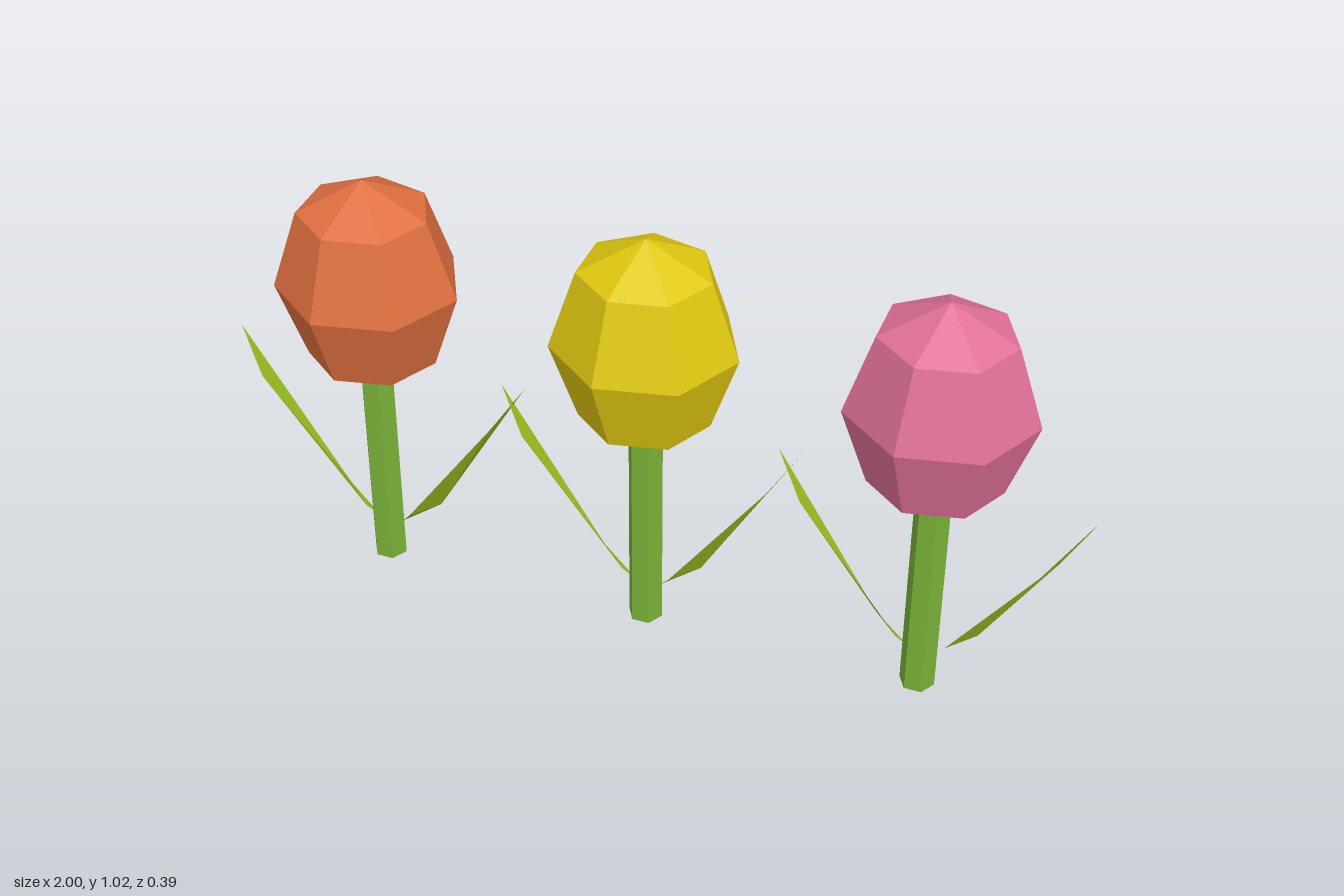
import * as THREE from 'three';

const flat = (name, color, side = THREE.FrontSide) => {
  const m = new THREE.MeshStandardMaterial({ color, flatShading: true, side });
  m.name = name;
  return m;
};

// Folded leaf blade: tip, inner shoulder, inner base, root, outer base
function leafGeometry(side) {
  const tip = [0.352, 0.546, -0.024];
  const shoulder = [0.286, 0.449, 0.022];
  const inner = [0.056, 0.117, 0.003];
  const root = [0.028, 0.08, -0.014];
  const outer = [0.117, 0.132, -0.046];
  const corners = [tip, shoulder, outer, shoulder, inner, outer, inner, root, outer];
  const points = [];
  for (let i = 0; i < corners.length; i += 3) {
    const tri = corners.slice(i, i + 3);
    if (side < 0) tri.reverse(); // keep the winding when mirrored
    for (const [x, y, z] of tri) points.push(x * side, y, z);
  }
  const g = new THREE.BufferGeometry();
  g.setAttribute('position', new THREE.Float32BufferAttribute(points, 3));
  g.computeVertexNormals();
  return g;
}

export function createModel() {
  const model = new THREE.Group();
  model.name = 'tulipRow';

  const stemGreen = flat('stem green', 0x79b238);
  const leafGreen = flat('leaf green', 0x9cc021, THREE.DoubleSide);
  const petals = [
    flat('orange petals', 0xe07040),
    flat('yellow petals', 0xe0c810),
    flat('pink petals', 0xe07098),
  ];

  // Seven-sided bud with a corner on +x
  const bud = new THREE.SphereGeometry(1, 7, 4, Math.PI);
  bud.scale(0.21, 0.26, 0.2);
  bud.translate(0, 0.765, 0);

  // Hexagonal stem with corners on +x and -x
  const stem = new THREE.CylinderGeometry(0.04, 0.04, 0.54, 6);
  stem.rotateY(Math.PI / 2);
  stem.translate(0, 0.27, 0);

  const leftLeaf = leafGeometry(1);
  const rightLeaf = leafGeometry(-1);

  petals.forEach((petal, i) => {
    const flower = new THREE.Group();
    flower.name = 'flower' + (i + 1);
    flower.position.x = (i - 1) * 0.648;
    const add = (name, geometry, material) => {
      const mesh = new THREE.Mesh(geometry, material);
      mesh.name = name;
      flower.add(mesh);
    };
    add('bloom', bud, petal);
    add('stem', stem, stemGreen);
    add('leftLeaf', leftLeaf, leafGreen);
    add('rightLeaf', rightLeaf, leafGreen);
    model.add(flower);
  });

  return model;
}
